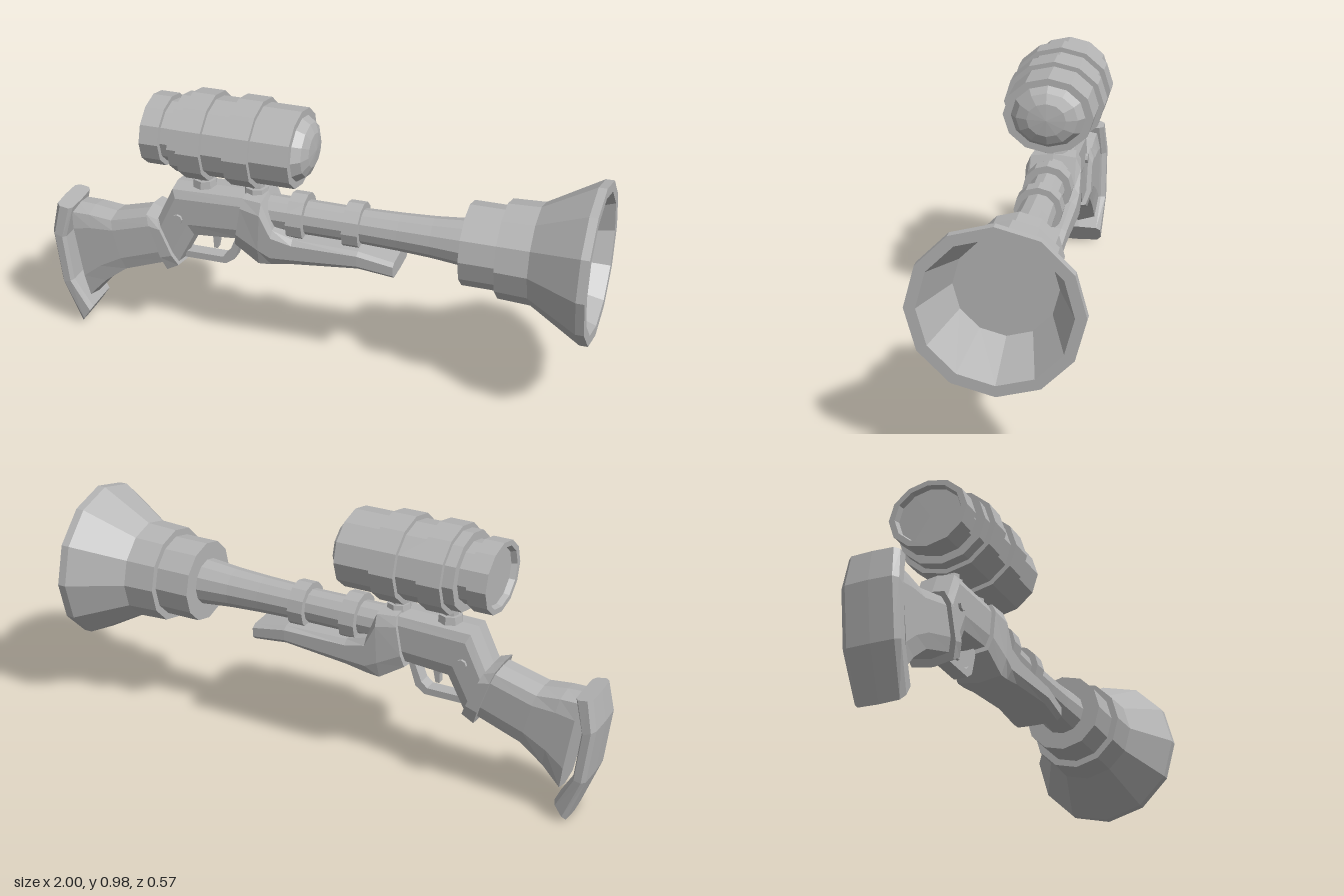
import * as THREE from 'three';

const metal = new THREE.MeshStandardMaterial({ color: 0xb4b4b4, flatShading: true });
metal.name = 'plain grey';

// Half outline of a bevelled section: [share of half width, share of height from the top]
const HALF = [[0, 0], [0.82, 0.04], [1, 0.2], [1, 0.72], [0.82, 0.95], [0, 1]];
const OUTLINE = [...HALF, ...HALF.slice(1, -1).reverse().map(([w, t]) => [-w, t])];

// Skin bevelled sections given as [x0, y0, x1, y1, halfWidth], with end caps
function loft(sections) {
  const n = OUTLINE.length, pos = [], index = [];
  for (const [x0, y0, x1, y1, w] of sections) {
    for (const [u, t] of OUTLINE) pos.push(x0 + (x1 - x0) * t, y0 + (y1 - y0) * t, u * w);
  }
  const last = (sections.length - 1) * n;
  for (const [x0, y0, x1, y1] of [sections[0], sections.at(-1)]) {
    pos.push((x0 + x1) / 2, (y0 + y1) / 2, 0);
  }
  const c0 = sections.length * n;
  for (let i = 0; i < n; i++) {
    const j = (i + 1) % n;
    for (let a = 0; a < last; a += n) {
      index.push(a + i, a + j, a + n + j, a + i, a + n + j, a + n + i);
    }
    index.push(c0, j, i, c0 + 1, last + i, last + j);
  }
  const g = new THREE.BufferGeometry();
  g.setAttribute('position', new THREE.Float32BufferAttribute(pos, 3));
  g.setIndex(index);
  g.computeVertexNormals();
  return g;
}

// Twelve-sided turned part along x; profile is [x, radius]
function turned(profile) {
  const g = new THREE.LatheGeometry(profile.map(([x, r]) => new THREE.Vector2(r, x)), 12);
  return g.rotateZ(-Math.PI / 2);
}

function plate(points, depth) {
  const shape = new THREE.Shape(points.map(([x, y]) => new THREE.Vector2(x, y)));
  return new THREE.ExtrudeGeometry(shape, { depth, bevelEnabled: false }).translate(0, 0, -depth / 2);
}

export function createModel() {
  const model = new THREE.Group();
  model.name = 'blunderbuss';
  const add = (name, geometry, x = 0, y = 0, z = 0) => {
    const mesh = new THREE.Mesh(geometry, metal);
    mesh.name = name;
    mesh.position.set(x, y, z);
    model.add(mesh);
    return mesh;
  };

  // Butt plate, lofted downwards from its front edge to its back edge
  add('buttPlate', loft([
    [-0.915, 0.48, -0.98, 0.49, 0.09],
    [-0.945, 0.36, -1, 0.38, 0.1],
    [-0.925, 0.185, -0.975, 0.175, 0.1],
    [-0.86, 0.075, -0.91, 0, 0.088],
  ]));

  // Shoulder stock, wrist collar, receiver
  add('stock', loft([
    [-0.93, 0.47, -0.87, 0.1, 0.078],
    [-0.86, 0.467, -0.805, 0.175, 0.078],
    [-0.775, 0.455, -0.72, 0.245, 0.078],
    [-0.61, 0.5, -0.53, 0.315, 0.076],
  ]));
  add('wristCollar', loft([
    [-0.63, 0.512, -0.55, 0.278, 0.092],
    [-0.588, 0.495, -0.505, 0.305, 0.092],
  ]));
  add('receiver', loft([
    [-0.592, 0.49, -0.51, 0.312, 0.075],
    [-0.53, 0.622, -0.445, 0.435, 0.075],
    [-0.23, 0.63, -0.26, 0.45, 0.075],
  ]));

  // Fore-end cradling the barrel
  add('foreEnd', loft([
    [-0.255, 0.635, -0.29, 0.43, 0.09],
    [-0.185, 0.635, -0.198, 0.37, 0.1],
    [-0.145, 0.53, -0.15, 0.38, 0.1],
    [-0.07, 0.505, -0.07, 0.397, 0.1],
    [0.17, 0.5, 0.17, 0.425, 0.1],
    [0.3, 0.475, 0.3, 0.41, 0.095],
  ]));

  // Trigger group
  add('triggerGuard', plate([
    [-0.5, 0.325], [-0.345, 0.325], [-0.31, 0.35], [-0.278, 0.45],
    [-0.3, 0.45], [-0.332, 0.37], [-0.355, 0.35], [-0.5, 0.35],
  ], 0.05));
  add('trigger', plate([[-0.405, 0.45], [-0.365, 0.45], [-0.373, 0.41], [-0.38, 0.375], [-0.395, 0.375], [-0.395, 0.41]], 0.025));
  add('crossPin', new THREE.CylinderGeometry(0.019, 0.019, 0.17, 8).rotateX(Math.PI / 2), -0.505, 0.505);

  // Barrel with two bands, stepped collars and a hollow flared muzzle
  const axis = 0.555;
  add('barrel', turned([[-0.22, 0], [-0.22, 0.064], [0.13, 0.062], [0.3, 0.067], [0.42, 0.073], [0.56, 0.086]]), 0, axis);
  for (const [x, r] of [[-0.067, 0.088], [0.137, 0.085]]) {
    add('barrelBand', turned([[-0.029, 0], [-0.029, r], [0.029, r], [0.029, 0]]), x, axis);
  }
  add('muzzleBell', turned([
    [0.54, 0], [0.54, 0.148], [0.67, 0.148], [0.67, 0.173], [0.785, 0.178], [0.97, 0.283],
    [1, 0.283], [1, 0.245], [0.8, 0.17], [0.8, 0],
  ]), 0, axis);

  // Oval scope: recessed rear lens, raised bands, domed front lens
  add('scope', turned([
    [-0.59, 0], [-0.59, 0.1], [-0.61, 0.106], [-0.61, 0.125], [-0.54, 0.125], [-0.54, 0.108],
    [-0.5, 0.108], [-0.5, 0.138], [-0.46, 0.138], [-0.46, 0.155], [-0.375, 0.155], [-0.375, 0.138],
    [-0.29, 0.138], [-0.29, 0.155], [-0.2, 0.155], [-0.2, 0.138], [-0.06, 0.138], [-0.06, 0.113],
    [-0.03, 0.094], [-0.014, 0.06], [-0.008, 0],
  ]), 0, 0.82).scale.z = 1.165;

  // Scope mounts: post on a wider foot
  for (const x of [-0.425, -0.23]) {
    add('mountFoot', new THREE.CylinderGeometry(0.042, 0.046, 0.03, 8), x, 0.633);
    add('mountPost', new THREE.CylinderGeometry(0.03, 0.03, 0.08, 8), x, 0.66);
  }
  return model;
}
